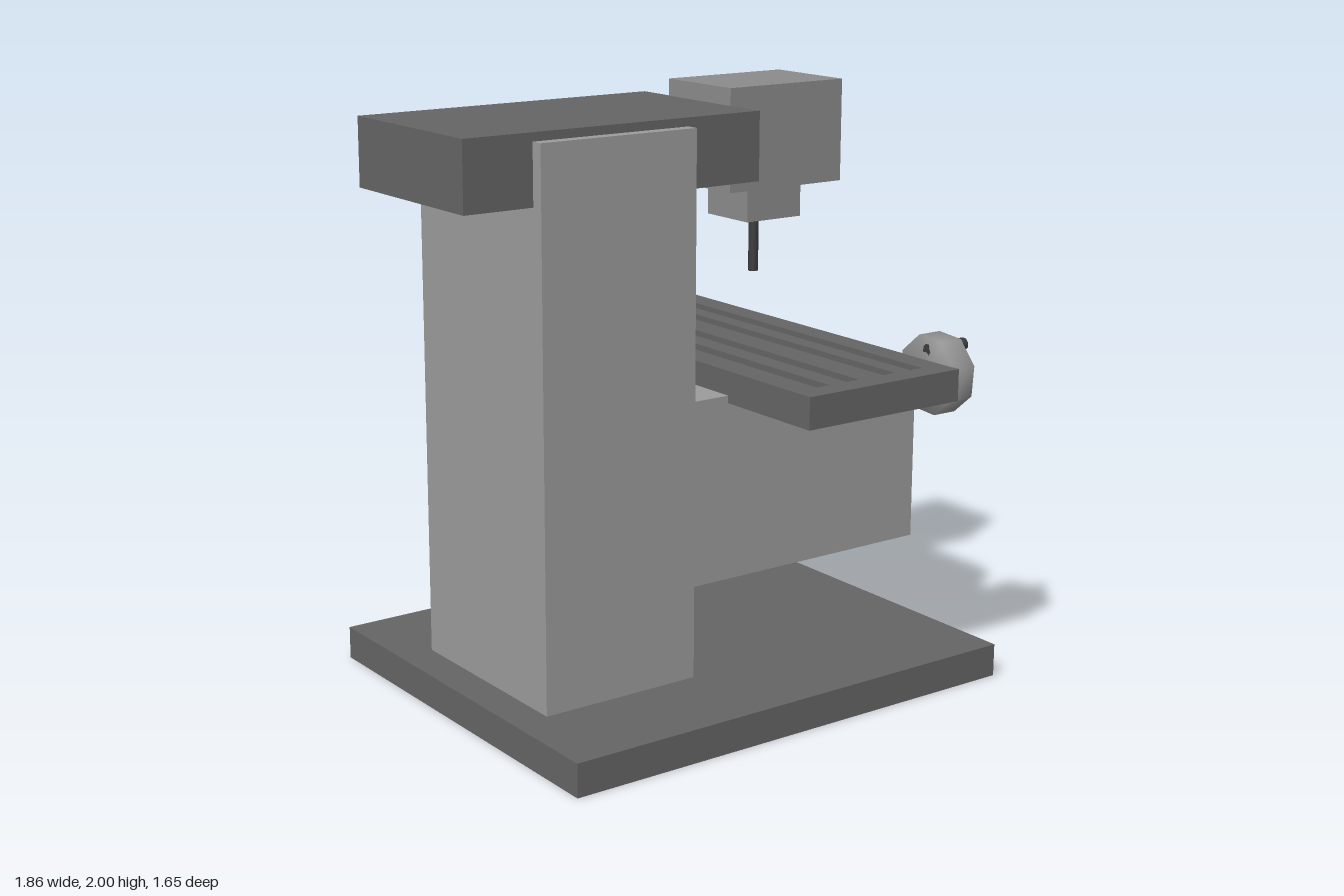
import * as THREE from 'three';

const mat = (color, flatShading = false) => new THREE.MeshStandardMaterial({ color, flatShading });
const light = mat(0x9a9a9a);
const medium = mat(0x8a8a8a);
const mediumFlat = mat(0x8a8a8a, true);
const dark = mat(0x646464);
const black = mat(0x3c3c3c);
const red = mat(0xac5456);

function add(parent, name, geometry, material) {
  const mesh = new THREE.Mesh(geometry, material);
  mesh.name = name;
  parent.add(mesh);
  return mesh;
}

// Box given by its extents along each axis
function box(parent, name, [x0, x1], [y0, y1], [z0, z1], material) {
  const mesh = add(parent, name, new THREE.BoxGeometry(x1 - x0, y1 - y0, z1 - z0), material);
  mesh.position.set((x0 + x1) / 2, (y0 + y1) / 2, (z0 + z1) / 2);
  return mesh;
}

// Eight-sided disc rising along local +z, with a corner at the given angle in degrees
function disc(parent, name, radius, depth, angle, material) {
  const geometry = new THREE.CylinderGeometry(radius, radius, depth, 8);
  geometry.rotateX(Math.PI / 2).translate(0, 0, depth / 2);
  geometry.rotateZ(THREE.MathUtils.degToRad(angle + 90));
  return add(parent, name, geometry, material);
}

// Wheel with a soft inner edge, a flat face and an offset crank handle, facing local +z
function handwheel(name, radius, angle, handleX, handleY, handleEnd) {
  const wheel = new THREE.Group();
  wheel.name = name;
  const depth = 0.09;
  const turn = THREE.MathUtils.degToRad(angle);
  const profile = [[0, 0], [radius, 0], [radius, depth]].map(([r, y]) => new THREE.Vector2(r, y));
  const rim = new THREE.LatheGeometry(profile, 8).rotateX(Math.PI / 2).rotateZ(turn + Math.PI / 2);
  add(wheel, 'wheelRim', rim, medium);
  add(wheel, 'wheelFace', new THREE.CircleGeometry(radius, 8).rotateZ(turn), medium).position.z = depth;
  disc(wheel, 'crankHandle', 0.022, handleEnd, 22.5, black).position.set(handleX, handleY, 0);
  return wheel;
}

export function createModel() {
  const model = new THREE.Group();
  model.name = 'millingMachine';

  // Frame
  box(model, 'base', [-0.81, 0.898], [0, 0.112], [-0.612, 0.808], dark);
  box(model, 'column', [-0.688, -0.115], [0.112, 1.915], [-0.257, 0.455], light);
  box(model, 'overarm', [-0.93, 0.165], [1.718, 1.943], [-0.215, 0.412], dark);
  box(model, 'knee', [-0.095, 0.861], [0.405, 1.03], [-0.215, 0.412], light);

  // Head with a chamfered nose on its +x end
  const headGeometry = new THREE.BoxGeometry(0.492, 0.34, 0.335, 2, 1, 1);
  const p = headGeometry.attributes.position;
  for (let i = 0; i < p.count; i++) {
    if (Math.abs(p.getX(i)) < 0.01) p.setX(i, 0.22);
    else if (p.getX(i) > 0) {
      p.setY(i, p.getY(i) - Math.sign(p.getY(i)) * 0.045);
      p.setZ(i, p.getZ(i) - Math.sign(p.getZ(i)) * 0.045);
    }
  }
  add(model, 'head', headGeometry, mediumFlat).position.set(0.406, 1.83, 0.1);

  // Spindle, chuck and cutter
  box(model, 'spindleHousing', [0.28, 0.504], [1.543, 1.66], [-0.007, 0.208], medium);
  add(model, 'chuck', new THREE.CylinderGeometry(0.046, 0.018, 0.022, 8), black)
    .position.set(0.392, 1.532, 0.1);
  add(model, 'cutter', new THREE.CylinderGeometry(0.017, 0.017, 0.188, 8), black)
    .position.set(0.392, 1.446, 0.1);

  // Table: solid slab under a slotted top layer
  box(model, 'tableSlab', [0.05, 0.673], [1.005, 1.07], [-0.635, 0.823], dark);
  const rect = (path, x0, x1, z0, z1) => {
    path.moveTo(x0, -z1);
    path.lineTo(x1, -z1);
    path.lineTo(x1, -z0);
    path.lineTo(x0, -z0);
    path.closePath();
    return path;
  };
  const top = rect(new THREE.Shape(), 0.05, 0.673, -0.635, 0.823);
  for (const x of [0.17, 0.293, 0.445, 0.56]) {
    top.holes.push(rect(new THREE.Path(), x - 0.026, x + 0.026, -0.53, 0.742));
  }
  const topGeometry = new THREE.ExtrudeGeometry(top, { depth: 0.042, bevelEnabled: false });
  topGeometry.rotateX(-Math.PI / 2);
  add(model, 'slottedTableTop', topGeometry, dark).position.y = 1.07;

  // Handwheels on the table's side and back
  const sideWheel = handwheel('sideHandwheel', 0.135, 27, 0, 0.083, 0.162);
  sideWheel.position.set(0.67, 1.063, 0.675);
  sideWheel.rotation.y = Math.PI / 2;
  const backWheel = handwheel('backHandwheel', 0.145, 30, -0.065, 0.082, 0.19);
  backWheel.position.set(0.355, 1.065, -0.633);
  backWheel.rotation.y = Math.PI;
  model.add(sideWheel, backWheel);

  // Control panel and its buttons
  box(model, 'controlPanel', [0.861, 0.907], [0.825, 0.997], [-0.135, 0.333], light);
  [0.227, 0.092, -0.04].forEach((z, i) => {
    const button = disc(model, i ? 'button' : 'stopButton', 0.055, 0.023, 15, i ? black : red);
    button.position.set(0.907, 0.915, z);
    button.rotation.y = Math.PI / 2;
  });

  // Dials on the back of the column
  for (const x of [-0.565, -0.4, -0.235]) {
    const dial = disc(model, 'dial', 0.07, 0.028, 15, black);
    dial.position.set(x, 1.717, -0.257);
    dial.rotation.y = Math.PI;
  }

  return model;
}
